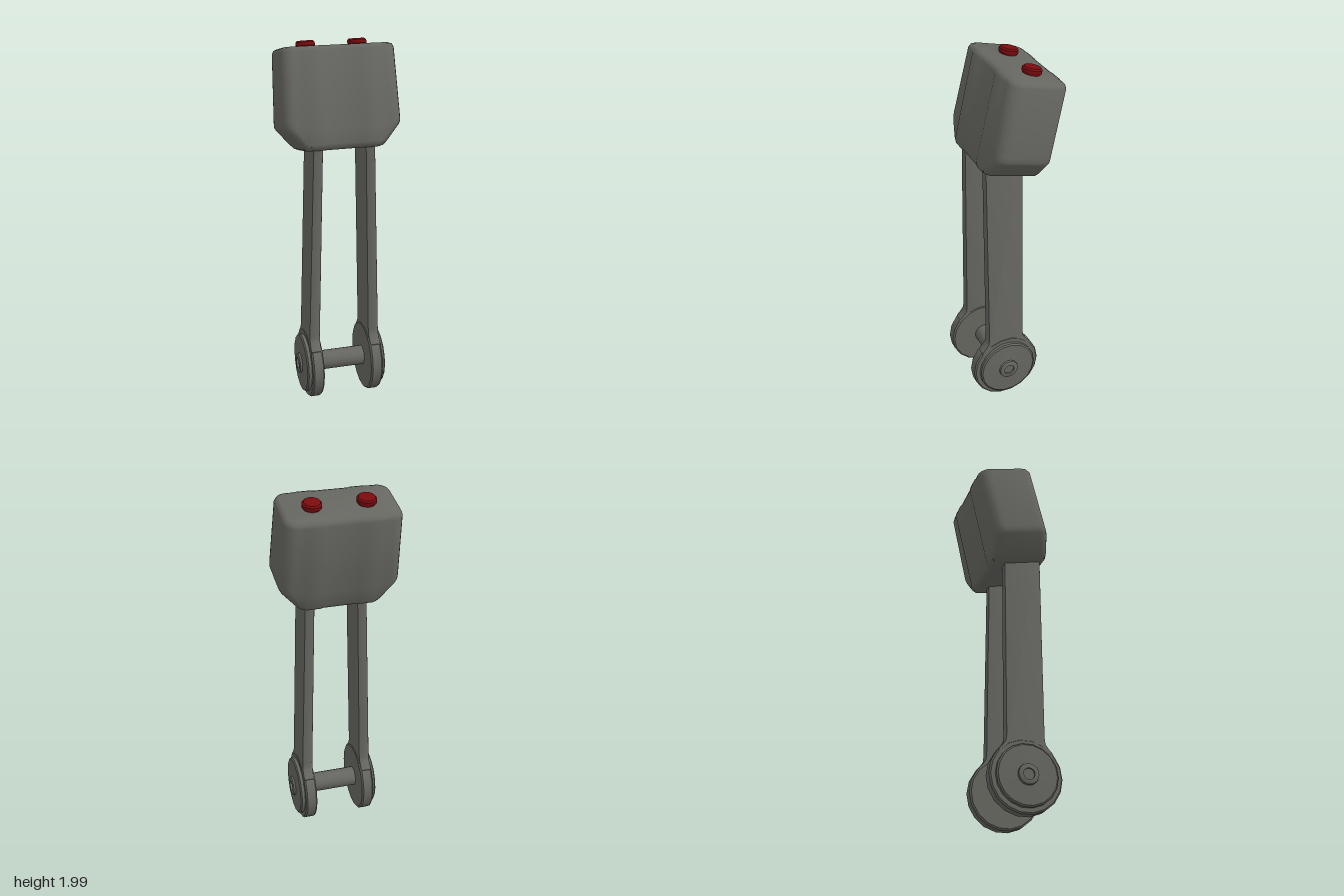
import * as THREE from 'three';
import { toCreasedNormals } from 'three/addons/utils/BufferGeometryUtils.js';

const grey = new THREE.MeshStandardMaterial({ color: 0x666661 });
grey.name = 'dark grey';
const red = new THREE.MeshStandardMaterial({ color: 0x7a0b0e });
red.name = 'button red';

function part(name, geometry, material, crease = 0.6) {
  const mesh = new THREE.Mesh(toCreasedNormals(geometry, crease), material);
  mesh.name = name;
  return mesh;
}

// Surface of revolution about x, from [radius, x] points
function turned(points, sides) {
  const g = new THREE.LatheGeometry(points.map(([r, y]) => new THREE.Vector2(r, y)), sides);
  return g.rotateZ(-Math.PI / 2);
}

// Plan outline of the head: rounded rectangle with two slightly raised ribs front and back
function headSection(w, d, r) {
  const quarter = [[0, d - 0.005], [0.09, d - 0.005], [0.105, d], [0.185, d], [0.195, d - 0.004]]
    .map(([x, z]) => [Math.min(x, w - r), z]);
  for (let i = 0; i <= 5; i++) {
    const a = (i / 5) * Math.PI / 2;
    quarter.push([w - r + r * Math.sin(a), d - 0.004 - r + r * Math.cos(a)]);
  }
  quarter.push([w, 0]);
  const right = [...quarter, ...quarter.slice(0, -1).reverse().map(([x, z]) => [x, -z])];
  return [...right, ...right.slice(1, -1).reverse().map(([x, z]) => [-x, z])];
}

// Head lofted from top to bottom, with chamfered lower sides
function headGeometry() {
  const levels = [ // y, half width, half depth, corner radius
    [0.268, 0.28, 0.138, 0.05], [0.261, 0.296, 0.155, 0.058], [0.243, 0.304, 0.163, 0.062],
    [-0.115, 0.319, 0.163, 0.062], [-0.14, 0.319, 0.163, 0.062], [-0.158, 0.31, 0.163, 0.06],
    [-0.237, 0.238, 0.163, 0.045], [-0.259, 0.217, 0.154, 0.035], [-0.268, 0.198, 0.135, 0.03],
  ];
  const positions = [], index = [];
  let n = 0;
  for (const [y, w, d, r] of levels) {
    const ring = headSection(w, d, r);
    n = ring.length;
    ring.forEach(([x, z]) => positions.push(x, y, z));
  }
  const last = (levels.length - 1) * n, top = levels.length * n, bottom = top + 1;
  positions.push(0, levels[0][0], 0, 0, levels[levels.length - 1][0], 0);
  for (let j = 0; j < n; j++) {
    const k = (j + 1) % n;
    for (let i = 0; i < last; i += n) {
      index.push(i + j, i + n + j, i + k, i + k, i + n + j, i + n + k);
    }
    index.push(top, j, k, bottom, last + k, last + j);
  }
  const g = new THREE.BufferGeometry();
  g.setAttribute('position', new THREE.Float32BufferAttribute(positions, 3));
  g.setIndex(index);
  return g;
}

// Flat leg, flared where it meets the wheel, leaning inwards and thinning towards the top
function legGeometry() {
  const b = 0.007, h = 0.104 - b;
  const half = [[0.14, 0.2], [0.14, 0.325], [0.118, 0.35], [h + 0.004, 0.375], [h, 0.41], [h, 1.56]];
  const outline = [...half, ...half.map(([z, y]) => [-z, y]).reverse()];
  const shape = new THREE.Shape(outline.map(([z, y]) => new THREE.Vector2(z, y)));
  const t = 0.06 - 2 * b;
  const g = new THREE.ExtrudeGeometry(shape, {
    depth: t, bevelThickness: b, bevelSize: b, bevelSegments: 2, curveSegments: 4,
  });
  g.translate(0, 0, -t / 2).rotateY(-Math.PI / 2);
  const p = g.attributes.position;
  for (let i = 0; i < p.count; i++) {
    const f = (p.getY(i) - 0.35) / 1.1;
    p.setX(i, p.getX(i) * (1 - 0.13 * f) + 0.17 - 0.028 * f);
  }
  return g;
}

export function createModel() {
  const model = new THREE.Group();
  model.name = 'model';

  // Head tilted backwards, with two buttons on top
  const head = new THREE.Group();
  head.name = 'head';
  head.position.set(0, 1.695, -0.03);
  head.rotation.x = -0.225;
  head.add(part('headBody', headGeometry(), grey, 0.9));
  const buttonProfile = [[0, 0], [0.047, 0], [0.047, 0.014], [0.052, 0.016], [0.052, 0.034], [0.044, 0.042], [0, 0.043]]
    .map(([r, y]) => new THREE.Vector2(r, y));
  for (const side of [1, -1]) {
    const button = part('button', new THREE.LatheGeometry(buttonProfile, 12), red);
    button.position.set(side * 0.141, 0.26, -0.014);
    head.add(button);
  }
  model.add(head);

  // Legs with end discs and hollow hubs
  const discProfile = [
    [0, 0.135], [0.187, 0.135], [0.196, 0.143], [0.196, 0.193], [0.188, 0.201], [0.165, 0.201],
    [0.165, 0.218], [0.157, 0.225], [0.056, 0.229], [0.054, 0.24], [0.048, 0.244],
    [0.03, 0.244], [0.03, 0.233], [0, 0.233],
  ];
  for (const side of [1, -1]) {
    const leg = new THREE.Group();
    leg.name = side > 0 ? 'leftLeg' : 'rightLeg';
    leg.position.z = 0.05;
    leg.rotation.y = side > 0 ? 0 : Math.PI;
    const disc = part('endDisc', turned(discProfile, 18), grey);
    disc.position.y = 0.196;
    leg.add(part('legBar', legGeometry(), grey), disc);
    model.add(leg);
  }

  // Axle joining the discs
  const axle = part('axle', new THREE.CylinderGeometry(0.055, 0.055, 0.29, 14).rotateZ(Math.PI / 2), grey);
  axle.position.set(0, 0.196, 0.05);
  model.add(axle);

  return model;
}
